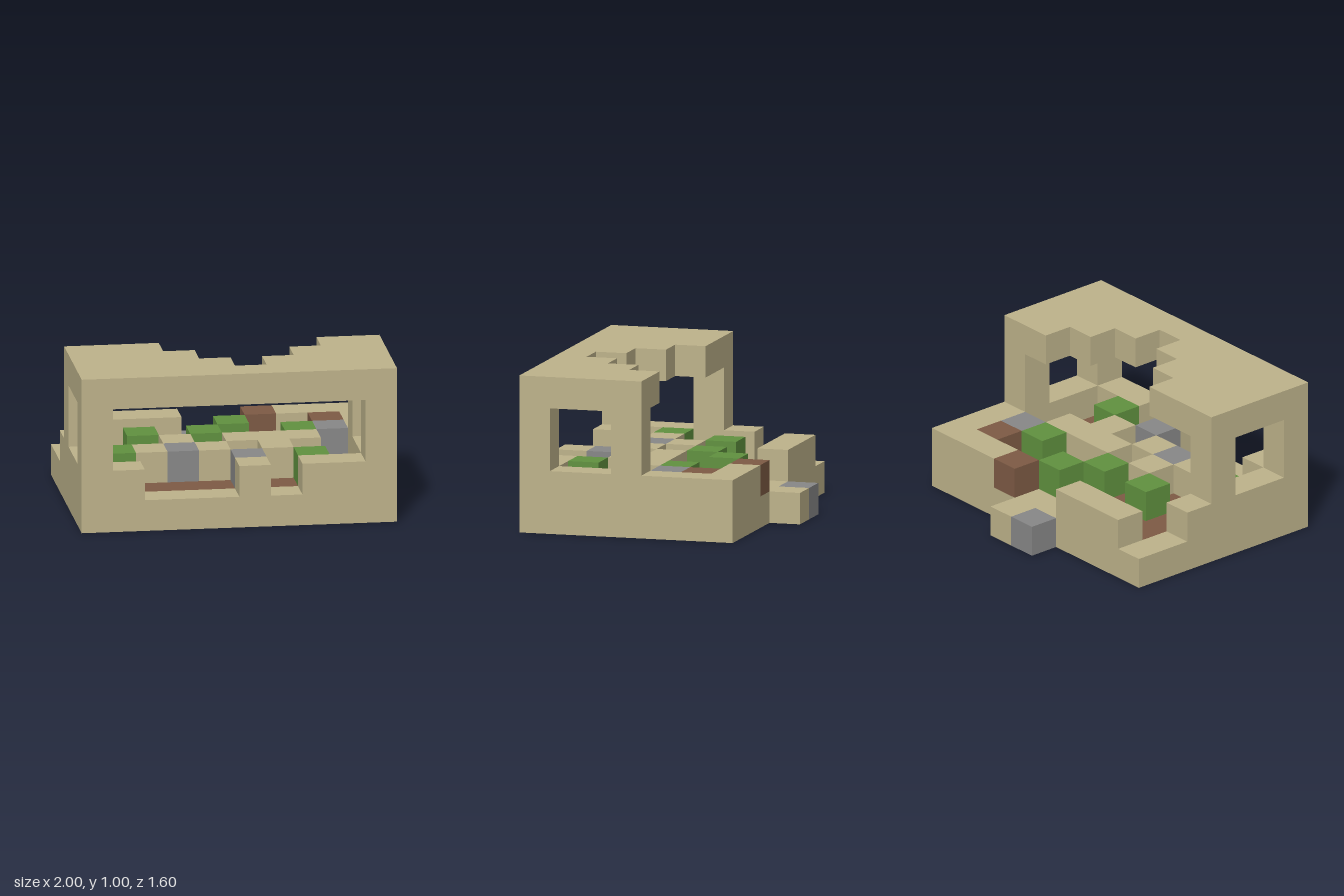
import * as THREE from 'three';

const CELL = 0.2, NX = 10, NZ = 8;

function colour(name, color) {
  const m = new THREE.MeshStandardMaterial({ color });
  m.name = name;
  return m;
}

// Visible faces of the cells owned by one part
function exposedFaces(cells, grid) {
  const pos = [], nor = [], idx = [];
  for (const c of cells) {
    for (let axis = 0; axis < 3; axis++) {
      for (const s of [-1, 1]) {
        const n = [0, 0, 0];
        n[axis] = s;
        if (grid.has(c.map((v, i) => v + n[i]).join())) continue;
        const u = (axis + 1) % 3, v = (axis + 2) % 3, base = pos.length / 3;
        for (const [a, b] of [[0, 0], [1, 0], [1, 1], [0, 1]]) {
          const p = [...c];
          p[axis] += s > 0 ? 1 : 0;
          p[u] += a;
          p[v] += b;
          pos.push((p[0] - NX / 2) * CELL, p[1] * CELL, (p[2] - NZ / 2) * CELL);
          nor.push(...n);
        }
        const order = s > 0 ? [0, 1, 2, 0, 2, 3] : [0, 2, 1, 0, 3, 2];
        idx.push(...order.map((o) => base + o));
      }
    }
  }
  const g = new THREE.BufferGeometry();
  g.setAttribute('position', new THREE.Float32BufferAttribute(pos, 3));
  g.setAttribute('normal', new THREE.Float32BufferAttribute(nor, 3));
  g.setIndex(idx);
  return g;
}

export function createModel() {
  const sand = colour('sandstone', 0xbdb28a);
  const earth = colour('brown floor', 0x7d5a44);
  const moss = colour('green block', 0x60913f);
  const stone = colour('grey stone', 0x878787);

  const grid = new Map(), materials = new Map();

  // Fill a box of cells; later parts replace earlier ones
  function fill(name, material, x0, y0, z0, w = 1, h = 1, d = 1) {
    materials.set(name, material);
    for (let x = x0; x < x0 + w; x++)
      for (let y = y0; y < y0 + h; y++)
        for (let z = z0; z < z0 + d; z++) grid.set([x, y, z].join(), { name, cell: [x, y, z] });
  }
  // Loose blocks lying on the floor, along one row
  const scatter = (name, material, z, ...xs) => xs.forEach((x) => fill(name, material, x, 1, z));

  // base slab with inset floor
  fill('foundation', sand, 0, 0, 1, NX, 1, 7);
  fill('floor', earth, 1, 0, 2, 8, 1, 5);
  fill('floorPatch', moss, 3, 0, 4);

  // side walls: parapet and posts either side of the window
  for (const [name, x] of [['rightWall', 0], ['leftWall', NX - 1]]) {
    fill(name, sand, x, 1, 4, 1, 1, 4);
    for (const z of [4, 7]) fill(name, sand, x, 2, z, 1, 2, 1);
    fill(name, sand, x, 1, 3);
  }
  fill('leftWall', sand, 9, 1, 2);

  // broken back wall and crumbled front sill
  fill('backWall', sand, 1, 1, 1, 3);
  fill('backWall', sand, 7, 1, 1, 3);
  scatter('frontSill', sand, 7, 1, 5, 7, 8);

  // roof rows, each with a gap that narrows toward the front
  [[3, 8], [4, 7], [5, 6], [5, 5]].forEach(([start, end], row) => {
    fill('roof', sand, 0, 4, 4 + row, start);
    fill('roof', sand, end, 4, 4 + row, NX - end);
  });

  // fallen blocks inside
  scatter('sandRubble', sand, 4, 3, 5, 6, 7);
  scatter('sandRubble', sand, 5, 2, 4, 6);
  scatter('stoneRubble', stone, 3, 8);
  scatter('stoneRubble', stone, 5, 3);
  scatter('stoneRubble', stone, 6, 5);
  scatter('earthRubble', earth, 1, 6);
  scatter('earthRubble', earth, 2, 8);
  scatter('mossBlocks', moss, 2, 5);
  scatter('mossBlocks', moss, 3, 2, 4, 7);
  scatter('mossBlocks', moss, 5, 1);
  scatter('mossBlocks', moss, 6, 7);

  // fallen blocks behind the house
  fill('stoneRubble', stone, 4, 0, 0);
  fill('sandRubble', sand, 5, 0, 0);

  const group = new THREE.Group();
  group.name = 'ruinedHouse';
  for (const [name, material] of materials) {
    const cells = [...grid.values()].filter((e) => e.name === name).map((e) => e.cell);
    const mesh = new THREE.Mesh(exposedFaces(cells, grid), material);
    mesh.name = name;
    group.add(mesh);
  }
  return group;
}
